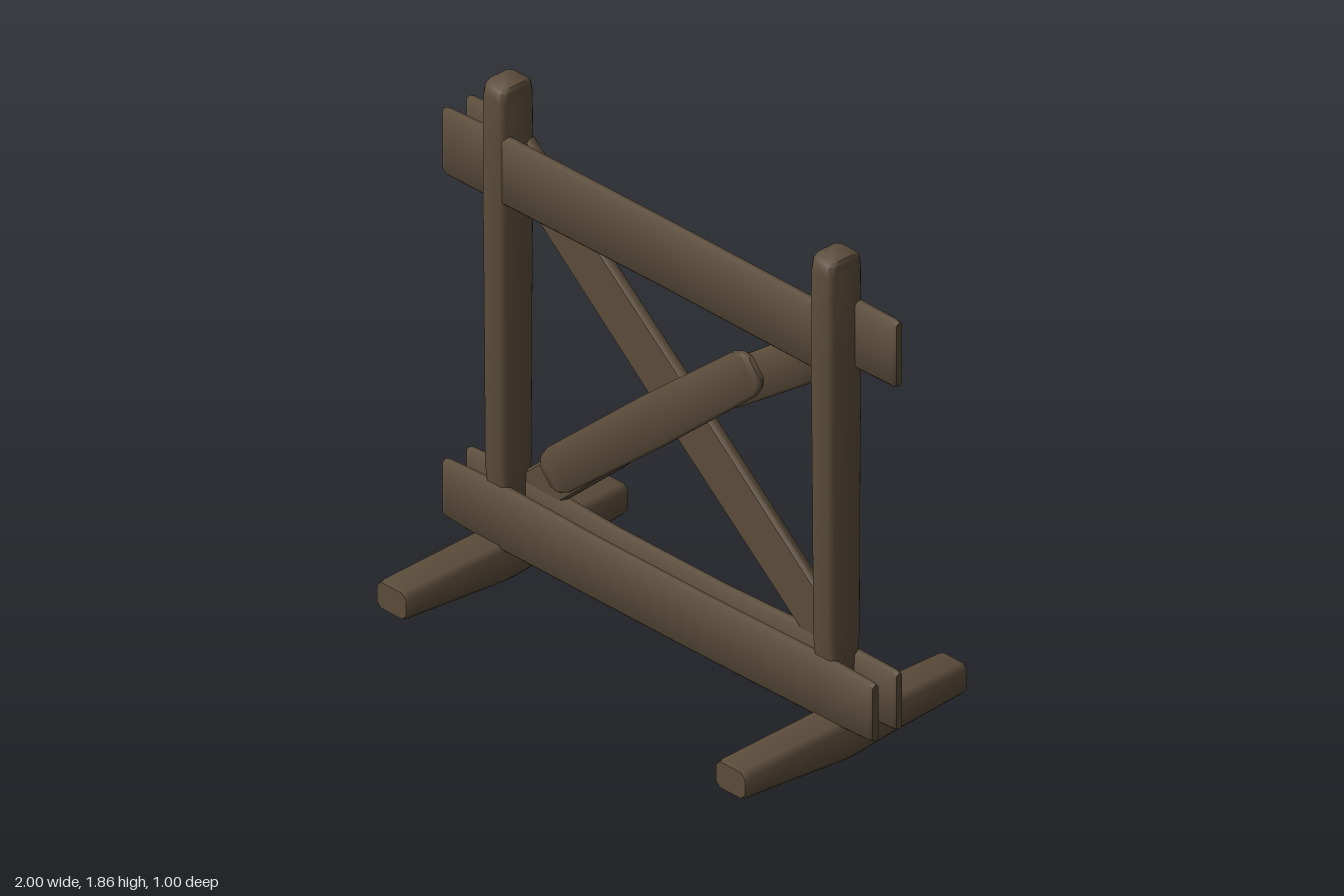
import * as THREE from 'three';
import { toCreasedNormals } from 'three/addons/utils/BufferGeometryUtils.js';

const wood = new THREE.MeshStandardMaterial({ color: 0x5c4d3b });
wood.name = 'weathered wood';

// Hewn beam along local x, lofted through chamfered rectangles.
// Each station: [x, bottom y, top y, back z, front z]
function beam(name, stations, bevel = 0.012) {
  const pos = [], index = [], n = 8;
  for (const [x, y0, y1, z0, z1] of stations) {
    const cy = (y0 + y1) / 2, cz = (z0 + z1) / 2, h = (y1 - y0) / 2, d = (z1 - z0) / 2;
    const b = Math.min(bevel, h * 0.6, d * 0.6);
    const ring = [[h, -d + b], [h, d - b], [h - b, d], [-h + b, d], [-h, d - b], [-h, -d + b], [-h + b, -d], [h - b, -d]];
    for (const [y, z] of ring) pos.push(x, cy + y, cz + z);
  }
  const last = stations.length - 1;
  for (let i = 0; i < last; i++) {
    for (let j = 0; j < n; j++) {
      const a = i * n + j, b = i * n + (j + 1) % n;
      index.push(a, b, a + n, b, b + n, a + n);
    }
  }
  for (let j = 1; j < n - 1; j++) {
    index.push(0, j + 1, j);
    index.push(last * n, last * n + j, last * n + j + 1);
  }
  const geo = new THREE.BufferGeometry();
  geo.setAttribute('position', new THREE.Float32BufferAttribute(pos, 3));
  geo.setIndex(index);
  const mesh = new THREE.Mesh(toCreasedNormals(geo, 0.9), wood);
  mesh.name = name;
  return mesh;
}

// Slanted brace with upright end cuts. Each station: [x, centre y, half height below, half height above]
function slantedBrace(name, stations) {
  return beam(name, stations.map(([x, y, below, above]) => [x, y - below, y + above, -0.07, -0.03]));
}

export function createModel() {
  const model = new THREE.Group();
  model.name = 'woodenBarrier';

  for (const side of [-1, 1]) {
    const label = side < 0 ? 'right' : 'left';

    // Upright post, slimmer where the lower rails clasp it
    const post = beam(label + 'Post', [
      [0.1, -0.047, 0.047, -0.05, 0.05],
      [0.34, -0.05, 0.05, -0.06, 0.06],
      [0.42, -0.051, 0.051, -0.07, 0.07],
      [1.0, -0.052, 0.052, -0.072, 0.074],
      [1.5, -0.055, 0.055, -0.074, 0.077],
      [1.8, -0.053, 0.053, -0.073, 0.077],
      [1.84, -0.051, 0.051, -0.066, 0.07],
      [1.855, -0.046, 0.046, -0.052, 0.055],
    ], 0.016);
    post.rotation.z = Math.PI / 2;
    post.position.x = side * 0.763;
    model.add(post);

    // Foot with a shallow keel in the middle
    const foot = beam(label + 'Foot', [
      [-0.5, 0.03, 0.138, -0.063, 0.063],
      [-0.48, 0.026, 0.142, -0.066, 0.066],
      [-0.2, 0.016, 0.145, -0.071, 0.071],
      [0, 0, 0.146, -0.073, 0.073],
      [0.05, 0, 0.146, -0.073, 0.073],
      [0.25, 0.018, 0.145, -0.072, 0.072],
      [0.48, 0.036, 0.143, -0.07, 0.07],
      [0.5, 0.042, 0.139, -0.067, 0.067],
    ], 0.018);
    foot.rotation.y = -Math.PI / 2;
    foot.position.x = side * 0.788;
    model.add(foot);

    // Short stub of the upper rail on the back of the post
    const stub = [
      [0.72, 1.435, 1.665, -0.068, -0.028],
      [0.8, 1.425, 1.676, -0.072, -0.03],
      [0.98, 1.425, 1.673, -0.071, -0.036],
      [1, 1.433, 1.668, -0.066, -0.04],
    ];
    const placed = side > 0 ? stub : stub.map(([x, ...r]) => [-x, ...r]).reverse();
    model.add(beam(label + 'RailStub', placed));
  }

  // Lower rails on both faces, sagging slightly
  for (const s of [-1, 1]) {
    model.add(beam(s > 0 ? 'frontLowerRail' : 'backLowerRail', [
      [-1, 0.145, 0.35, 0.04, 0.066],
      [-0.98, 0.14, 0.354, 0.037, 0.071],
      [-0.76, 0.125, 0.362, 0.03, 0.072],
      [-0.3, 0.118, 0.348, 0.026, 0.064],
      [0.2, 0.118, 0.348, 0.026, 0.064],
      [0.76, 0.13, 0.362, 0.03, 0.072],
      [0.98, 0.14, 0.358, 0.037, 0.071],
      [1, 0.145, 0.352, 0.04, 0.066],
    ].map(([x, a, b, z0, z1]) => s > 0 ? [x, a, b, z0, z1] : [x, a, b, -z1, -z0])));
  }

  // Upper rail on the front face, ending inside the left post
  model.add(beam('upperRail', [
    [-1, 1.435, 1.668, 0.042, 0.066],
    [-0.98, 1.425, 1.672, 0.037, 0.071],
    [-0.76, 1.425, 1.678, 0.03, 0.072],
    [0, 1.425, 1.677, 0.026, 0.064],
    [0.7, 1.425, 1.677, 0.028, 0.07],
    [0.77, 1.43, 1.67, 0.03, 0.068],
  ]));

  // Cross bracing on the back: one full brace, and two ends of the broken one
  model.add(slantedBrace('fullBrace', [
    [-0.76, 1.555, 0.122, 0.122], [0, 0.928, 0.13, 0.13], [0.76, 0.3, 0.122, 0.122],
  ]));
  model.add(slantedBrace('upperBraceEnd', [
    [0.18, 1.09, 0.075, -0.01], [0.21, 1.104, 0.09, 0.05], [0.27, 1.146, 0.1, 0.09],
    [0.54, 1.335, 0.1, 0.1], [0.76, 1.49, 0.1, 0.1],
  ]));
  model.add(slantedBrace('lowerBraceEnd', [
    [-0.76, 0.255, 0.1, 0.1], [-0.54, 0.45, 0.1, 0.1],
    [-0.29, 0.672, 0.1, 0.1], [-0.22, 0.734, 0.095, 0.03], [-0.19, 0.761, 0.08, -0.03],
  ]));

  // Middle piece of the broken brace, lapped on the front
  const tip = [[0.5, 0.55], [0.8, 0.85], [0.97, 1]];
  const reach = [0.635, 0.61, 0.56];
  const at = (x, [k, m]) => [x, -0.084 * k, 0.084 * k, -0.018 * m, 0.018 * m];
  const middle = beam('middleBrace', [
    ...tip.map((t, i) => at(-reach[i], t)),
    at(0, [1.05, 1.1]),
    ...tip.map((t, i) => at(reach[i], t)).reverse(),
  ]);
  middle.position.set(-0.05, 0.89, 0.044);
  middle.rotation.z = Math.atan(0.845);
  model.add(middle);

  return model;
}
